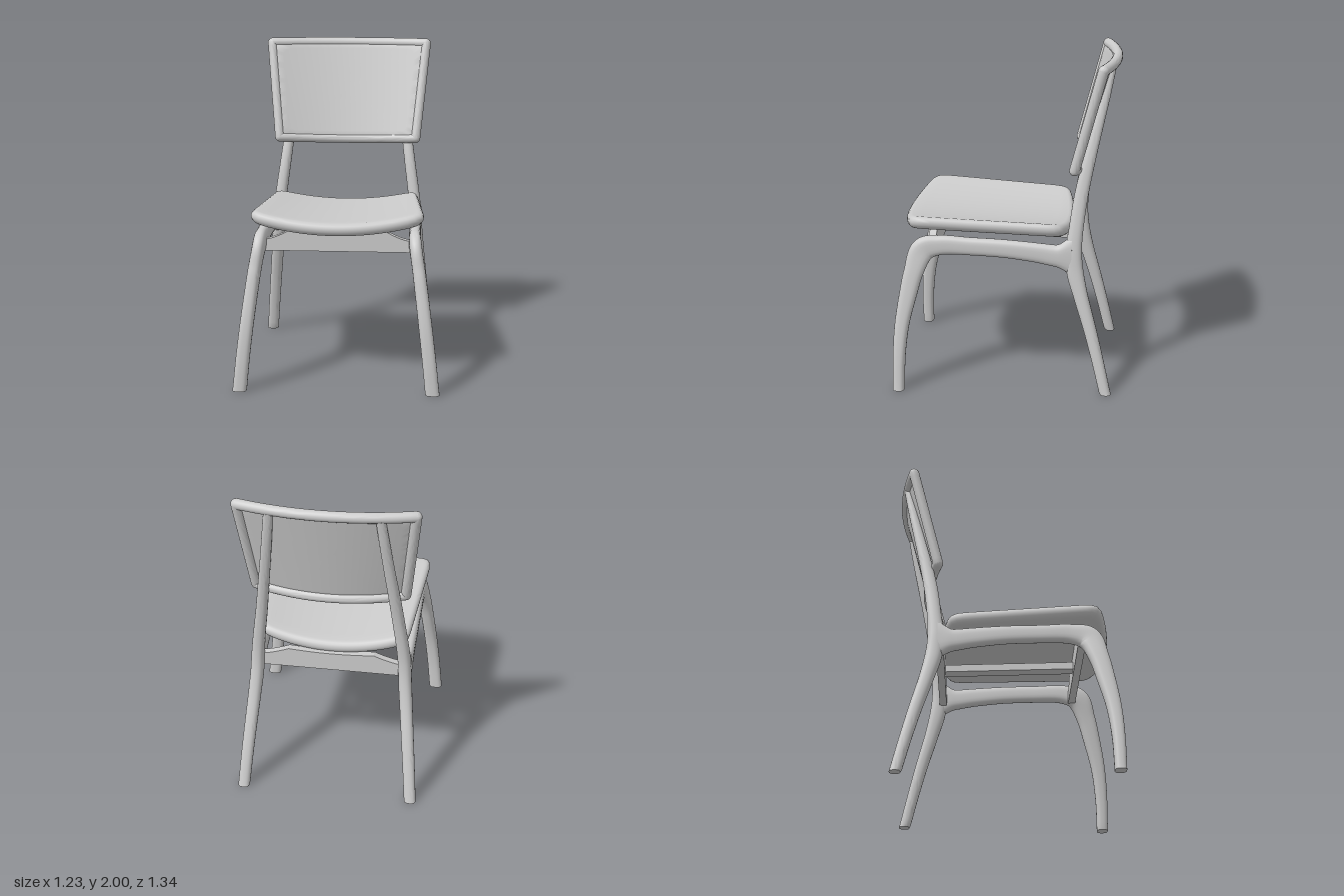
import * as THREE from 'three';
import { toCreasedNormals } from 'three/addons/utils/BufferGeometryUtils.js';

const wood = new THREE.MeshStandardMaterial({ color: 0xcccccc });
wood.name = 'paleGrey';
const V = (x, y, z) => new THREE.Vector3(x, y, z);
const lerp = THREE.MathUtils.lerp;

function part(name, geometry) {
  const mesh = new THREE.Mesh(geometry, wood);
  mesh.name = name;
  return mesh;
}

// Skin a list of rings, each an array of equally many points
function loft(rings) {
  const n = rings[0].length, index = [];
  for (let i = 0; i < rings.length - 1; i++) {
    for (let j = 0; j < n; j++) {
      const k = (j + 1) % n, a = i * n, b = a + n;
      index.push(a + j, a + k, b + j, a + k, b + k, b + j);
    }
  }
  const g = new THREE.BufferGeometry().setFromPoints(rings.flat());
  g.setIndex(index);
  return toCreasedNormals(g, 0.8);
}

// Sweep a rounded section along rows of [x, y, z, radius on axis, radius across]
function sweep(rows, axis, { power = 2, steps = 48, dome = false } = {}) {
  const path = new THREE.CatmullRomCurve3(rows.map(r => V(r[0], r[1], r[2])));
  const radii = new THREE.CatmullRomCurve3(rows.map(r => V(r[3], r[4], 0)));
  const rings = [];
  const ring = (t, scale, push) => {
    const T = path.getTangent(t), r = radii.getPoint(t);
    const A = axis.clone().addScaledVector(T, -axis.dot(T)).normalize();
    const B = T.clone().cross(A);
    const c = path.getPoint(t).addScaledVector(T, push * Math.min(r.x, r.y));
    const pts = [];
    for (let j = 0; j < 24; j++) {
      const q = j / 24 * Math.PI * 2, co = Math.cos(q), si = Math.sin(q);
      const k = scale * (Math.abs(co) ** power + Math.abs(si) ** power) ** (-1 / power);
      const p = c.clone().addScaledVector(A, co * k * r.x).addScaledVector(B, si * k * r.y);
      p.y = Math.max(p.y, 0); // flat feet on the floor
      pts.push(p);
    }
    rings.push(pts);
  };
  const cap = dome ? [0, 0.25, 0.5, 0.75] : [0];
  for (const f of cap) ring(0, Math.sin(f * Math.PI / 2), dome ? -Math.cos(f * Math.PI / 2) : 0);
  for (let i = 0; i <= steps; i++) ring(i / steps, 1, 0);
  for (const f of cap.reverse()) ring(1, Math.sin(f * Math.PI / 2), dome ? Math.cos(f * Math.PI / 2) : 0);
  return loft(rings);
}

// Rounded-edge board in u, v (-1..1) and height h, bent by a mapping
function board(half, edge, map) {
  const profile = [];
  for (let i = 0; i <= 8; i++) profile.push([(1 - edge) * i / 8, -half]);
  for (let i = 1; i < 10; i++) {
    const q = (i / 10 - 0.5) * Math.PI;
    profile.push([1 - edge + edge * Math.cos(q), half * Math.sin(q)]);
  }
  for (let i = 8; i >= 0; i--) profile.push([(1 - edge) * i / 8, half]);
  return loft(profile.map(([s, h]) => {
    const pts = [];
    for (let j = 0; j < 120; j++) {
      const q = j / 120 * Math.PI * 2, c = Math.cos(q), d = Math.sin(q);
      const r = s * (Math.abs(c) ** 18 + Math.abs(d) ** 18) ** (-1 / 18);
      pts.push(map(c * r, d * r, h));
    }
    return pts;
  }));
}

// Curved, reclined surface of the backrest
const backPoint = (u, v) => V(
  u * lerp(0.442, 0.502, v),
  lerp(1.365, 1.965, v) - 0.015 * (1 - u * u) * (1 - v),
  lerp(-0.478, -0.637, v) + 0.07 * u * u);

// Apron board with shoulders sloping down to the legs
function apron(bottom, end, top, z) {
  const s = new THREE.Shape();
  s.moveTo(-0.45, bottom);
  s.lineTo(0.45, bottom);
  s.lineTo(0.45, end);
  s.quadraticCurveTo(0.36, end + 0.01, 0.26, top + 0.012);
  s.quadraticCurveTo(0, top - 0.012, -0.26, top + 0.012);
  s.quadraticCurveTo(-0.36, end + 0.01, -0.45, end);
  const g = new THREE.ExtrudeGeometry(s, { depth: 0.045, bevelEnabled: false, curveSegments: 12 });
  return g.translate(0, 0, z - 0.0225);
}

export function createModel() {
  const chair = new THREE.Group();
  chair.name = 'chair';
  const X = V(1, 0, 0), Y = V(0, 1, 0);

  // Side frames: front leg flowing into the rail, and back leg into the post
  for (const s of [1, -1]) {
    const side = s > 0 ? 'left' : 'right';
    const frame = new THREE.Group();
    frame.name = side + 'Frame';
    const place = rows => rows.map(([x, ...rest]) => [s * x, ...rest]);
    frame.add(part(side + 'FrontLegAndRail', sweep(place([
      [0.574, -0.01, 0.636, 0.042, 0.034],
      [0.552, 0.2, 0.634, 0.041, 0.037],
      [0.528, 0.4, 0.617, 0.04, 0.043],
      [0.502, 0.6, 0.577, 0.039, 0.053],
      [0.484, 0.73, 0.545, 0.038, 0.059],
      [0.462, 0.86, 0.49, 0.037, 0.073],
      [0.456, 0.89, 0.39, 0.035, 0.059],
      [0.456, 0.888, 0.2, 0.034, 0.053],
      [0.456, 0.88, 0, 0.034, 0.054],
      [0.455, 0.86, -0.2, 0.034, 0.059],
      [0.454, 0.845, -0.31, 0.036, 0.066],
      [0.453, 0.845, -0.4, 0.036, 0.12],
    ]), X, { power: 3, steps: 72 })));
    frame.add(part(side + 'BackLegAndPost', sweep(place([
      [0.526, -0.01, -0.617, 0.036, 0.033],
      [0.508, 0.2, -0.567, 0.037, 0.035],
      [0.489, 0.4, -0.515, 0.038, 0.038],
      [0.469, 0.6, -0.457, 0.039, 0.043],
      [0.455, 0.75, -0.42, 0.04, 0.05],
      [0.447, 0.88, -0.41, 0.039, 0.049],
      [0.435, 1.0, -0.421, 0.037, 0.043],
      [0.408, 1.2, -0.447, 0.035, 0.041],
      [0.382, 1.4, -0.487, 0.033, 0.037],
      [0.355, 1.6, -0.534, 0.031, 0.031],
      [0.33, 1.8, -0.58, 0.029, 0.027],
      [0.312, 1.95, -0.613, 0.027, 0.022],
    ]), X, { power: 2.6, steps: 72 })));
    chair.add(frame);
  }

  // Seat support under the cushion
  chair.add(part('frontApron', apron(0.82, 0.885, 0.95, 0.45)));
  chair.add(part('backApron', apron(0.79, 0.865, 0.905, -0.385)));
  const bar = part('seatSupportBar', new THREE.BoxGeometry(0.08, 0.045, 0.84));
  bar.position.set(0, 0.862, 0.033);
  bar.rotation.x = -0.035;
  chair.add(bar);

  // Saddle-shaped seat, wider at the front
  chair.add(part('seat', board(0.038, 0.075, (u, v, h) => {
    const w = (1 - v) / 2;
    const z = lerp(-0.34, 0.56, w) - v * (v < 0 ? 0.078 : 0.05) * (1 - u * u);
    return V(u * lerp(0.457, 0.515, w), 0.98 + h + 0.063 * u * u - 0.05 * (0.55 - z), z);
  })));

  // Backrest: thin curved panel set in a round frame
  const backrest = new THREE.Group();
  backrest.name = 'backrest';
  backrest.add(part('backPanel', board(0.014, 0.02, (u, v, h) =>
    backPoint(u, (v + 1) / 2).add(V(0, 0.25 * (h + 0.01), h + 0.01)))));
  const edge = (name, at, axis) => {
    const rows = [];
    for (let i = 0; i <= 12; i++) rows.push([...at(i / 12).toArray(), 0.031, 0.031]);
    backrest.add(part(name, sweep(rows, axis, { dome: true, steps: 24 })));
  };
  edge('topRail', t => backPoint(2 * t - 1, 1), Y);
  edge('bottomRail', t => backPoint(2 * t - 1, 0), Y);
  edge('leftStile', t => backPoint(1, t), X);
  edge('rightStile', t => backPoint(-1, t), X);
  chair.add(backrest);

  return chair;
}
